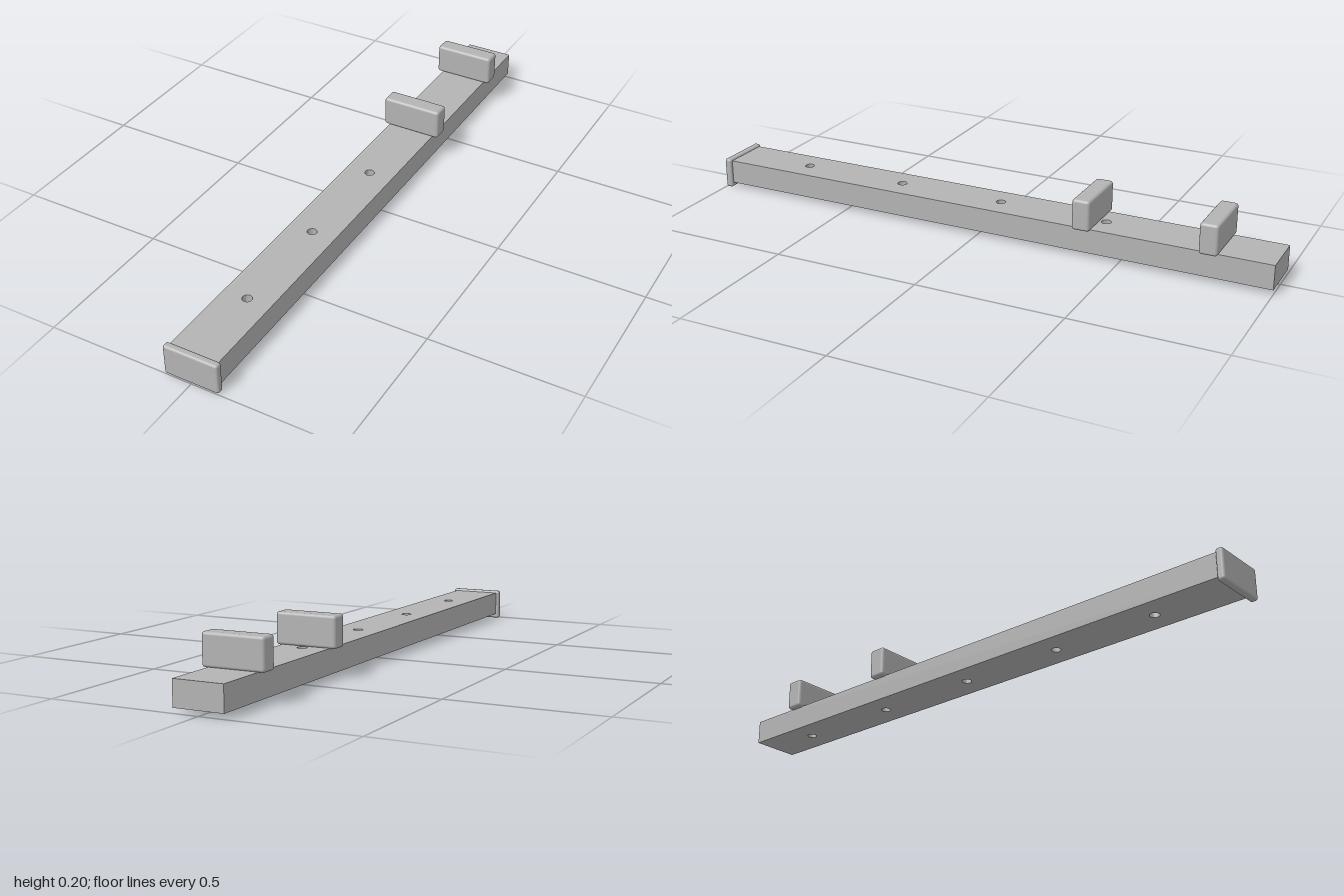
import * as THREE from 'three';
import { RoundedBoxGeometry } from 'three/addons/geometries/RoundedBoxGeometry.js';
import { toCreasedNormals } from 'three/addons/utils/BufferGeometryUtils.js';

export function createModel() {
  const model = new THREE.Group();
  const grey = new THREE.MeshStandardMaterial({ color: 0xb3b3b3 });
  grey.name = 'grey';

  const add = (name, geometry, y, z) => {
    const mesh = new THREE.Mesh(geometry, grey);
    mesh.name = name;
    mesh.position.set(0, y, z);
    model.add(mesh);
  };

  // Long flat rail, drilled through from top to bottom
  const w = 0.083, back = -1, front = 0.985;
  const outline = new THREE.Shape([
    new THREE.Vector2(-w, -front), new THREE.Vector2(w, -front),
    new THREE.Vector2(w, -back), new THREE.Vector2(-w, -back),
  ]);
  for (let i = 0; i < 5; i++) {
    const hole = new THREE.Path();
    hole.absarc(0, -0.7 + i * 0.375, 0.016, 0, Math.PI * 2, true);
    outline.holes.push(hole);
  }
  const rail = new THREE.ExtrudeGeometry(outline, { depth: 0.082, bevelEnabled: false, curveSegments: 24 });
  rail.rotateX(-Math.PI / 2);
  add('rail', toCreasedNormals(rail, 0.6), 0.016, 0);

  // Rounded plate closing the front end
  add('endCap', new RoundedBoxGeometry(0.187, 0.105, 0.025, 4, 0.008), 0.0525, 0.9875);

  // Two rounded cross blocks standing on the rail
  add('frontBlock', new RoundedBoxGeometry(0.208, 0.104, 0.06, 4, 0.01), 0.148, -0.376);
  add('rearBlock', new RoundedBoxGeometry(0.208, 0.104, 0.06, 4, 0.01), 0.148, -0.795);

  return model;
}
